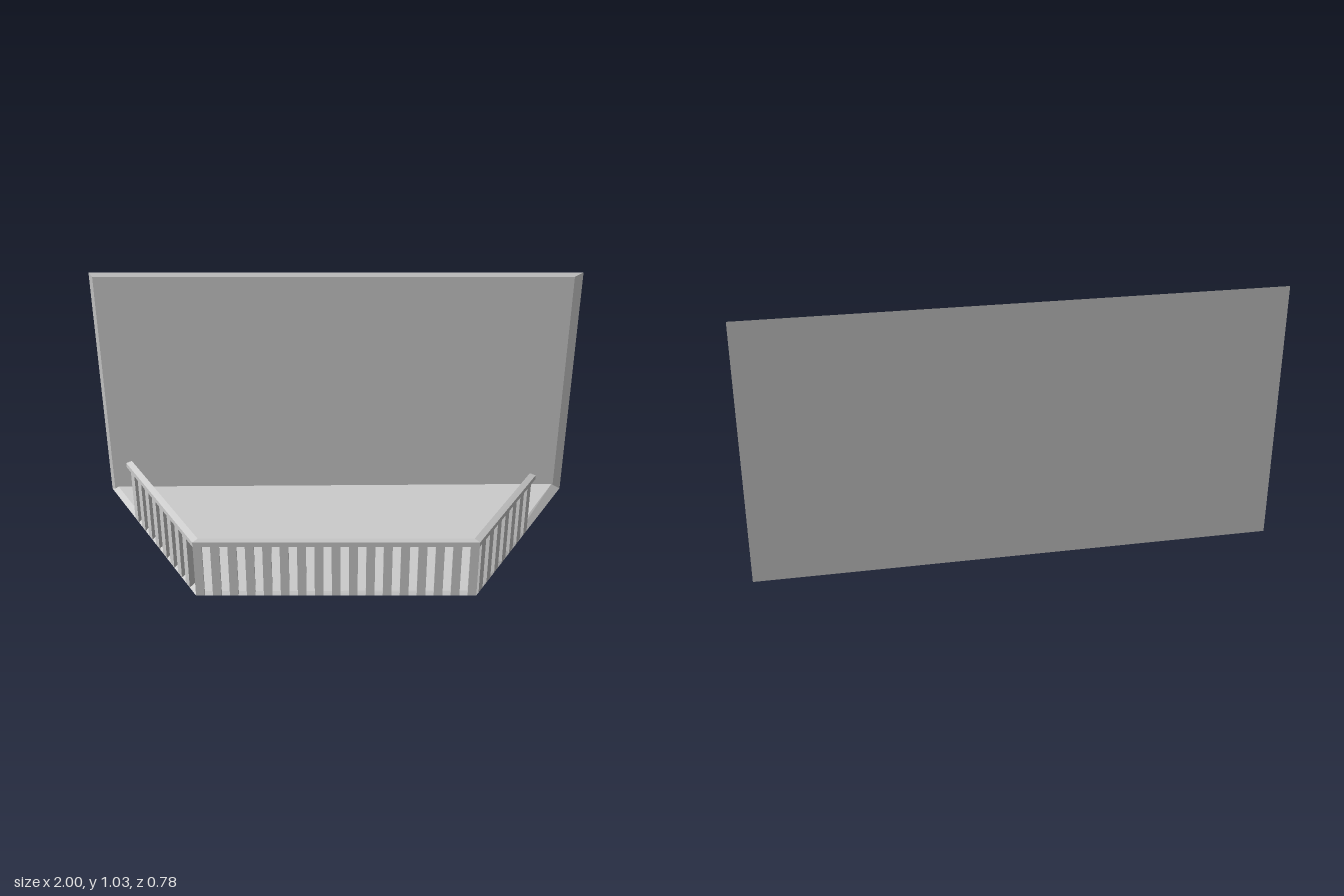
import * as THREE from 'three';
import { ConvexGeometry } from 'three/addons/geometries/ConvexGeometry.js';

const material = new THREE.MeshStandardMaterial({ color: 0xcccccc, flatShading: true });

// Plan outline: wide at the back, narrow at the front
const BACK = -0.39, FRONT = 0.39;
const edgeX = (z) => 0.545 + (0.455 * (FRONT - z)) / (FRONT - BACK);

export function createModel() {
  const group = new THREE.Group();

  // Convex solid spanned by its corner points
  const solid = (name, points, parent = group) => {
    const mesh = new THREE.Mesh(new ConvexGeometry(points.map((p) => new THREE.Vector3(...p))), material);
    mesh.name = name;
    parent.add(mesh);
  };

  // Back wall, front face slightly smaller than the back face
  solid('backWall', [
    [-1, 0, BACK], [1, 0, BACK], [1, 1.03, BACK], [-1, 1.03, BACK],
    [-0.985, 0, -0.38], [0.965, 0, -0.38], [0.965, 1.015, -0.38], [-0.985, 1.015, -0.38],
  ]);

  // Floor slab with bevelled sides and a gently rising top
  solid('floor', [
    [-1, 0, BACK], [1, 0, BACK], [0.545, 0, FRONT], [-0.545, 0, FRONT],
    [-0.975, 0.016, BACK], [0.965, 0.03, BACK], [0.525, 0.015, 0.378], [-0.525, 0.013, 0.378],
  ]);

  // Handrails: bevelled bars mitred at the front corners
  const bar = (name, a, b, innerA, innerB) => solid(name, [
    ...[a, b].flatMap(([x, z]) => [[x, 0.23, z], [x, 0.25, z]]),
    ...[innerA, innerB].flatMap(([x, z]) => [[x, 0.23, z], [x, 0.26, z]]),
  ]);
  bar('frontHandrail', [-0.545, FRONT], [0.545, FRONT], [-0.525, 0.378], [0.525, 0.378]);
  for (const [side, name, end] of [[1, 'left', -0.095], [-1, 'right', -0.195]]) {
    bar(name + 'Handrail', [side * 0.545, FRONT], [side * edgeX(end), end],
      [side * 0.525, 0.378], [side * (edgeX(end) - 0.025), end]);
  }

  // Front balusters
  const front = new THREE.Group();
  front.name = 'frontBalusters';
  group.add(front);
  for (let i = 0; i < 17; i++) {
    const post = new THREE.Mesh(new THREE.BoxGeometry(0.034, 0.23, 0.012), material);
    post.name = 'baluster';
    post.position.set(-0.528 + i * 0.066, 0.115, 0.384);
    front.add(post);
  }

  // Side balusters, standing square to the slanted edges
  const slope = Math.atan2(0.455, 0.78);
  for (const [side, name, last, count] of [[1, 'left', -0.044, 7], [-1, 'right', -0.1425, 8]]) {
    const row = new THREE.Group();
    row.name = name + 'Balusters';
    group.add(row);
    for (let i = 0; i < count; i++) {
      const z = last + i * 0.0655;
      const post = new THREE.Mesh(new THREE.BoxGeometry(0.024, 0.23, 0.038), material);
      post.name = 'baluster';
      post.position.set(side * (edgeX(z) - 0.014), 0.115, z);
      post.rotation.y = -side * slope;
      row.add(post);
    }
  }
  return group;
}
